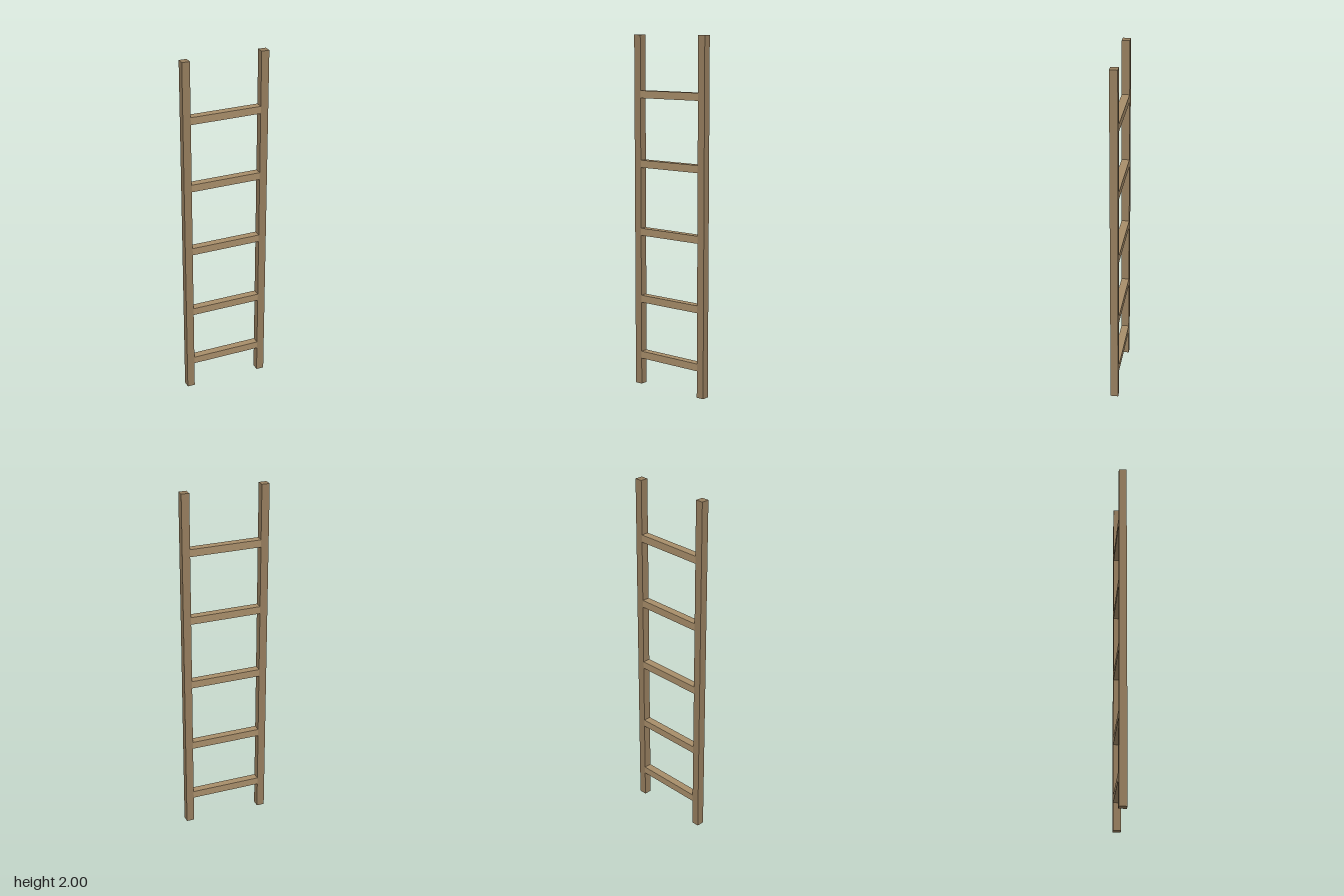
import * as THREE from 'three';

const BAR = 0.044; // square section shared by rails and rungs
const HALF_WIDTH = 0.245;
const HEIGHT = 2;

function bar(name, width, height, color, x, y) {
  const material = new THREE.MeshStandardMaterial({ color });
  const mesh = new THREE.Mesh(new THREE.BoxGeometry(width, height, BAR), material);
  mesh.name = name;
  mesh.position.set(x, y, 0);
  return mesh;
}

export function createModel() {
  const ladder = new THREE.Group();
  ladder.name = 'ladder';

  // Upright side rails
  for (const side of [-1, 1]) {
    const name = side > 0 ? 'leftRail' : 'rightRail';
    ladder.add(bar(name, BAR, HEIGHT, 0x967e5e, side * (HALF_WIDTH - BAR / 2), HEIGHT / 2));
  }

  // Rungs fitted between the rails, flush front and back
  const rungLength = 2 * (HALF_WIDTH - BAR);
  [0.174, 0.506, 0.896, 1.284, 1.673].forEach((y, i) => {
    ladder.add(bar(`rung${i + 1}`, rungLength, BAR * 0.95, 0xa88e6a, 0, y));
  });

  return ladder;
}
